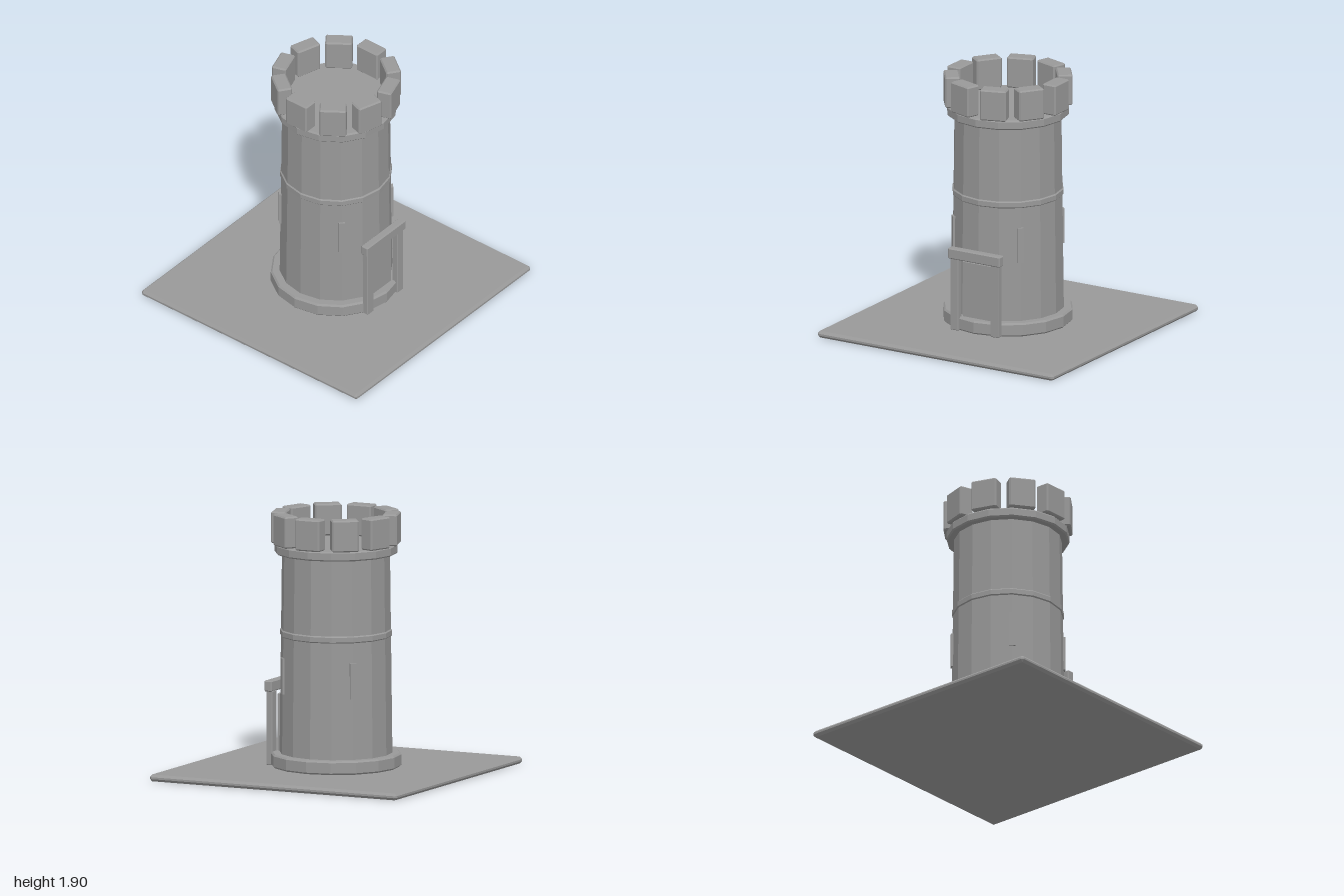
import * as THREE from 'three';
import { ConvexGeometry } from 'three/addons/geometries/ConvexGeometry.js';

const SIDES = 16;

export function createModel() {
  const tower = new THREE.Group();
  tower.name = 'watchtower';
  const stone = new THREE.MeshStandardMaterial({ color: 0x999999 });
  stone.name = 'grey stone';

  function add(name, geometry, parent = tower) {
    const mesh = new THREE.Mesh(geometry, stone);
    mesh.name = name;
    parent.add(mesh);
    return mesh;
  }

  // Box with every edge chamfered by c
  function chamferBox(w, h, d, c) {
    const points = [];
    for (const x of [-1, 1]) for (const y of [-1, 1]) for (const z of [-1, 1]) {
      for (const [a, b, e] of [[0, c, c], [c, 0, c], [c, c, 0]]) {
        points.push(new THREE.Vector3(x * (w / 2 - a), y * (h / 2 - b), z * (d / 2 - e)));
      }
    }
    return new ConvexGeometry(points);
  }

  // Faceted drum from y0 to y1 with chamfered rims
  function drum(r0, r1, y0, y1, c) {
    const profile = [[0, y0], [r0 - c, y0], [r0, y0 + c], [r1, y1 - c], [r1 - c, y1], [0, y1]];
    const smooth = new THREE.LatheGeometry(profile.map(([x, y]) => new THREE.Vector2(x, y)), SIDES);
    const flat = smooth.toNonIndexed();
    flat.computeVertexNormals();
    return flat;
  }

  // Ground slab
  add('groundSlab', chamferBox(2, 0.05, 2, 0.018)).position.y = 0.025;

  // Round body and its rings
  add('plinth', drum(0.472, 0.472, 0.05, 0.15, 0.012));
  add('towerBody', drum(0.408, 0.39, 0.1, 1.62, 0.005));
  add('middleBand', drum(0.405, 0.405, 0.995, 1.05, 0.01));
  add('parapetRing', drum(0.445, 0.445, 1.6, 1.67, 0.01));

  // Ring of merlons
  const battlements = new THREE.Group();
  battlements.name = 'battlements';
  tower.add(battlements);
  const merlonShape = chamferBox(0.11, 0.23, 0.195, 0.01);
  for (let i = 0; i < 10; i++) {
    const angle = (i / 10) * Math.PI * 2;
    const merlon = add('merlon', merlonShape, battlements);
    merlon.position.set(0.405 * Math.cos(angle), 1.785, 0.405 * Math.sin(angle));
    merlon.rotation.y = -angle;
  }

  // Window slits on the diagonals
  const slitShape = new THREE.BoxGeometry(0.02, 0.26, 0.045);
  for (let i = 0; i < 4; i++) {
    const angle = Math.PI / 4 + (i * Math.PI) / 2;
    const slit = add('windowSlit', slitShape);
    slit.position.set(0.403 * Math.cos(angle), 0.72, 0.403 * Math.sin(angle));
    slit.rotation.y = -angle;
  }

  // Doorway: panel, two jambs and a lintel
  const doorway = new THREE.Group();
  doorway.name = 'doorway';
  tower.add(doorway);
  add('doorPanel', chamferBox(0.26, 0.515, 0.04, 0.005), doorway).position.set(0, 0.3075, 0.39);
  for (const side of [-1, 1]) {
    add('doorJamb', chamferBox(0.07, 0.54, 0.05, 0.005), doorway).position.set(side * 0.17, 0.32, 0.435);
  }
  add('doorLintel', chamferBox(0.44, 0.08, 0.06, 0.008), doorway).position.set(0, 0.625, 0.44);

  return tower;
}
